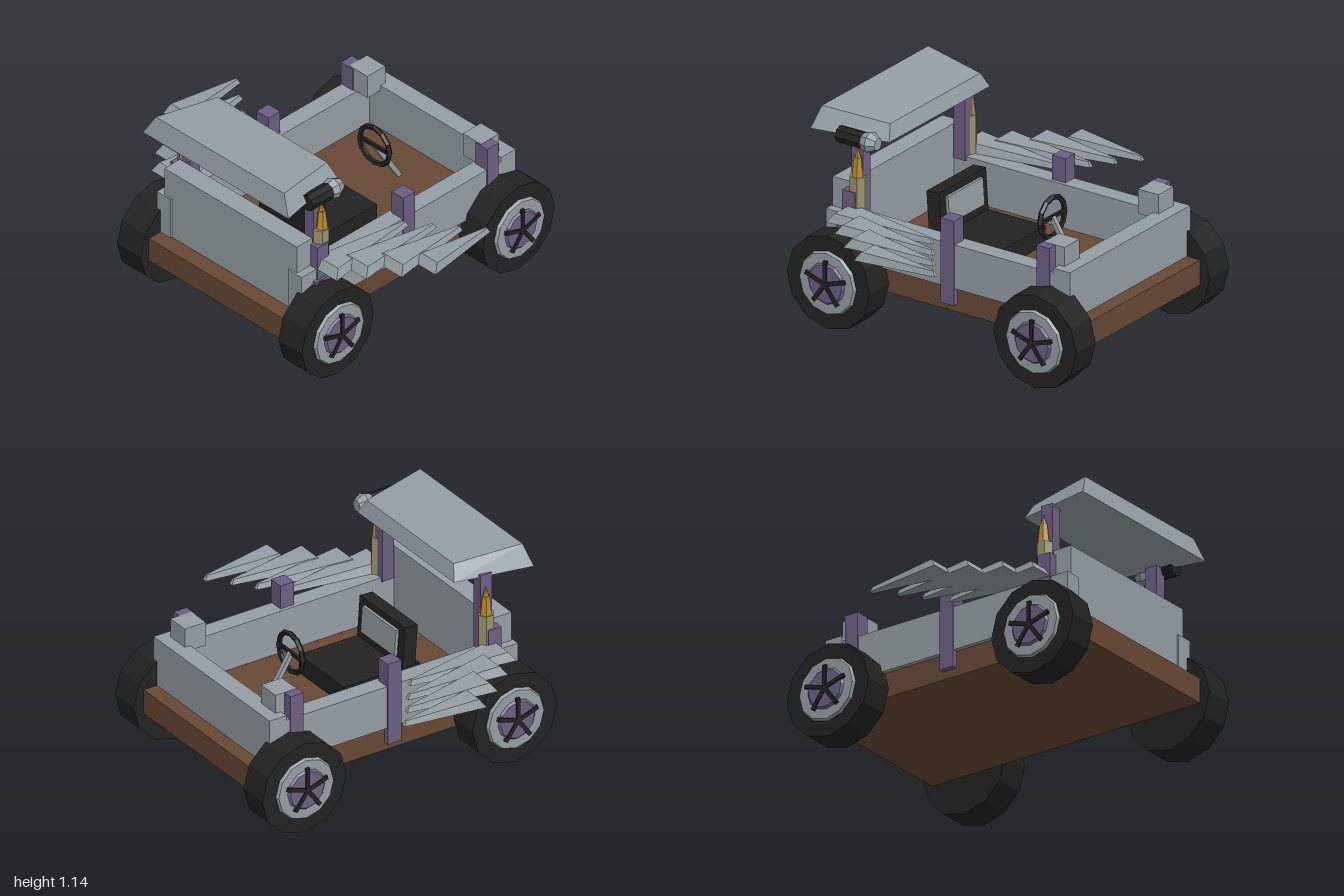
import * as THREE from 'three';

const mat = (name, color) => Object.assign(new THREE.MeshStandardMaterial({ color, flatShading: true }), { name });

export function createModel() {
  const grey = mat('grey metal', 0x949ea4);
  const purple = mat('purple post', 0x6c5f83);
  const brown = mat('brown wood', 0x684835);
  const black = mat('black rubber', 0x232323);
  const tan = mat('candle tan', 0x9a926c);
  const gold = mat('flame gold', 0xb98a2a);

  const car = new THREE.Group();
  car.name = 'buggy';

  const add = (name, geometry, material, x = 0, y = 0, z = 0, parent = car) => {
    const mesh = new THREE.Mesh(geometry, material);
    mesh.name = name;
    mesh.position.set(x, y, z);
    parent.add(mesh);
    return mesh;
  };
  // Box given by its limits on each axis
  const box = (name, material, x0, x1, y0, y1, z0, z1) =>
    add(name, new THREE.BoxGeometry(Math.abs(x1 - x0), y1 - y0, z1 - z0), material,
      (x0 + x1) / 2, (y0 + y1) / 2, (z0 + z1) / 2);
  // Box whose corners are placed by a rule on the corner signs
  const shaped = (name, material, rule) => {
    const g = new THREE.BoxGeometry(2, 2, 2);
    const p = g.attributes.position;
    for (let i = 0; i < p.count; i++) p.setXYZ(i, ...rule(p.getX(i), p.getY(i), p.getZ(i)));
    g.computeVertexNormals();
    return add(name, g, material);
  };

  // Chassis and body tub
  box('chassis', brown, -0.505, 0.505, 0.215, 0.355, -0.855, 0.855);
  box('frontPanel', grey, -0.485, 0.485, 0.355, 0.766, 0.65, 0.762);
  box('rearPanel', grey, -0.533, 0.533, 0.355, 0.63, -0.772, -0.668);

  // Spikes: [tip x, tip z, base centre x, base z, base half width]
  const spikes = [
    [0.915, -0.2, 0.917, 0.265, 0.079],
    [0.805, -0.11, 0.79, 0.405, 0.1],
    [0.695, 0.03 - 0.06, 0.675, 0.545, 0.1],
    [0.58, 0.06, 0.575, 0.665, 0.104],
  ];

  for (const s of [1, -1]) {
    // Side wall and posts
    box('sideWall', grey, s * 0.43, s * 0.53, 0.355, 0.6, -0.77, 0.772);
    box('middlePost', purple, s * 0.45, s * 0.537, 0.26, 0.735, -0.041, 0.043);
    box('rearPost', purple, s * 0.45, s * 0.537, 0.4, 0.735, -0.645, -0.565);
    box('frontPost', purple, s * 0.45, s * 0.537, 0.4, 0.735, 0.585, 0.665);
    box('roofPost', purple, s * 0.418, s * 0.485, 0.58, 1.04, 0.57, 0.642);
    box('rearBlock', grey, s * 0.35, s * 0.483, 0.6, 0.737, -0.702, -0.572);
    box('wallBracket', purple, s * 0.525, s * 0.55, 0.49, 0.535, 0.515, 0.69);

    // Candle with a two-step flame
    add('candle', new THREE.CylinderGeometry(0.047, 0.047, 0.215, 6), tan, s * 0.49, 0.7075, 0.6);
    add('flameBase', new THREE.CylinderGeometry(0.022, 0.034, 0.11, 6), gold, s * 0.497, 0.868, 0.595);
    add('flameTip', new THREE.ConeGeometry(0.018, 0.06, 6), gold, s * 0.497, 0.95, 0.595);

    // Tapered side spikes with sloping ends
    for (const [tx, tz, bx, bz, w] of spikes) {
      shaped('sideSpike', grey, (x, y, z) => {
        const base = z > 0, top = y > 0;
        const half = base ? (top ? w * 0.75 : w) : (top ? 0.006 : 0.013);
        return [s * (base ? bx : tx) + x * half,
          top ? (base ? 0.65 : 0.628) : 0.6,
          base ? bz - (top ? 0.035 : 0) : tz + (top ? 0.015 : 0)];
      });
    }

    // Wheels
    for (const z of [0.653, -0.653]) {
      const wheel = new THREE.Group();
      wheel.name = 'wheel';
      wheel.position.set(s * 0.59, 0.265, z);
      wheel.rotation.y = s > 0 ? 0 : Math.PI;
      car.add(wheel);
      const disc = (name, r0, r1, len, sides, material, x) => {
        const m = add(name, new THREE.CylinderGeometry(r0, r1, len, sides), material, x, 0, 0, wheel);
        m.rotation.z = -Math.PI / 2;
      };
      disc('tyre', 0.262, 0.262, 0.172, 12, black, 0);
      disc('rim', 0.17, 0.178, 0.018, 12, grey, 0.094);
      disc('hub', 0.105, 0.117, 0.012, 12, purple, 0.108);
      for (let i = 0; i < 5; i++) {
        const a = (i * Math.PI * 2) / 5;
        const spoke = add('spoke', new THREE.BoxGeometry(0.016, 0.13, 0.022), black,
          0.114, 0.065 * Math.cos(a), 0.065 * Math.sin(a), wheel);
        spoke.rotation.x = a;
      }
    }
  }

  // Roof: bevelled slab, wider and higher at the front
  shaped('roof', grey, (x, y, z) => (y > 0
    ? (z > 0 ? [x * 0.47, 1.14, 0.84] : [x * 0.4, 1.108, 0.46])
    : (z > 0 ? [x * 0.532, 1.025, 0.87] : [x * 0.445, 1.025, 0.432])));

  // Lamp under the left edge of the roof, pointing back
  const lampPart = (name, r0, r1, len, sides, material, z) => {
    const m = add(name, new THREE.CylinderGeometry(r0, r1, len, sides), material, 0.5, 1.025, z);
    m.rotation.x = -Math.PI / 2;
  };
  lampPart('lampBody', 0.047, 0.047, 0.155, 8, black, 0.628);
  lampPart('lampCollar', 0.058, 0.045, 0.04, 8, grey, 0.532);
  lampPart('lampHead', 0.034, 0.058, 0.047, 8, grey, 0.4885);

  // Seat facing the steering wheel
  box('seatCushion', black, -0.208, 0.208, 0.355, 0.46, -0.09, 0.38);
  const back = new THREE.Group();
  back.name = 'seatBack';
  back.position.set(0, 0.44, 0.31);
  back.rotation.x = 0.07;
  car.add(back);
  add('backrest', new THREE.BoxGeometry(0.415, 0.25, 0.08), black, 0, 0.125, 0, back);
  add('backrestPad', new THREE.BoxGeometry(0.31, 0.15, 0.02), grey, 0, 0.14, -0.047, back);

  // Steering wheel and column
  add('steeringWheel', new THREE.TorusGeometry(0.11, 0.015, 5, 12), black, 0, 0.63, -0.28);
  box('steeringBar', black, -0.105, 0.105, 0.62, 0.64, -0.288, -0.272);
  const column = add('steeringColumn', new THREE.BoxGeometry(0.026, 0.33, 0.026), grey, 0, 0.49, -0.368);
  column.rotation.x = Math.atan2(0.17, 0.27);

  return car;
}
